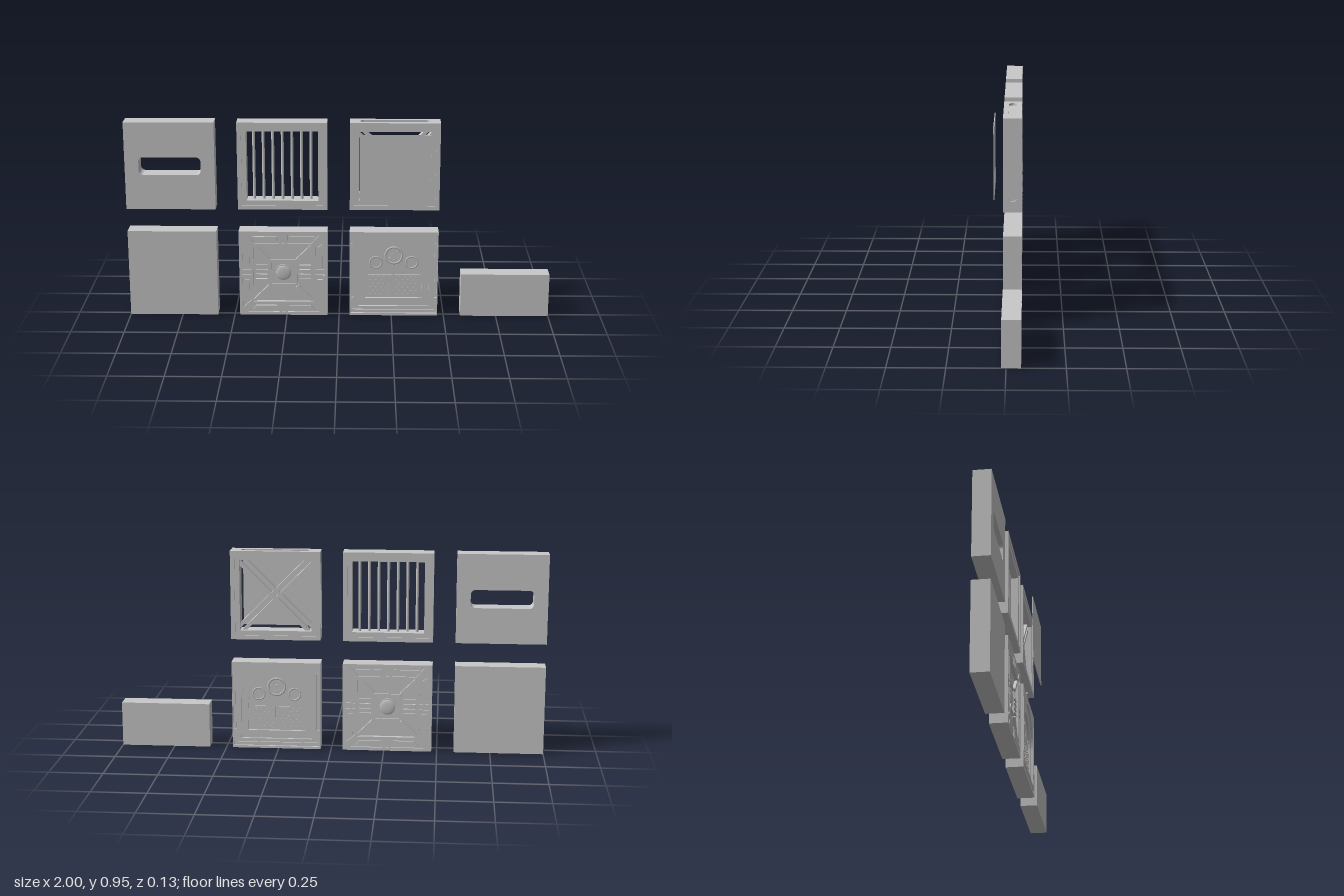
import * as THREE from 'three';

const S = 0.21;    // half tile size
const T = 0.0415;  // half tile thickness
const stone = new THREE.MeshStandardMaterial({ color: 0xc8c8c8 });
stone.name = 'light grey stone';

function add(parent, name, geo, x = 0, y = 0, z = 0) {
  const m = new THREE.Mesh(geo, stone);
  m.name = name;
  m.position.set(x, y, z);
  parent.add(m);
  return m;
}
const box = (w, h, d) => new THREE.BoxGeometry(w, h, d);
const disc = (r, d, n = 16) => new THREE.CylinderGeometry(r, r, d, n).rotateX(Math.PI / 2);
const ring = (r, tube) => new THREE.TorusGeometry(r, tube, 6, 28).scale(1, 1, 0.6);

// Outlines
const poly = pts => new THREE.Shape(pts.map(p => new THREE.Vector2(...p)));
const rect = (w, h, x = 0, y = 0) =>
  poly([[x - w / 2, y - h / 2], [x + w / 2, y - h / 2], [x + w / 2, y + h / 2], [x - w / 2, y + h / 2]]);
function roundRect(w, h, r, x = 0, y = 0) {
  const s = new THREE.Shape(), a = w / 2 - r, b = h / 2 - r;
  s.absarc(x + a, y + b, r, 0, Math.PI / 2);
  s.absarc(x - a, y + b, r, Math.PI / 2, Math.PI);
  s.absarc(x - a, y - b, r, Math.PI, Math.PI * 1.5);
  s.absarc(x + a, y - b, r, Math.PI * 1.5, Math.PI * 2);
  s.closePath();
  return s;
}
function arch(half, bottom, spring) {
  const s = new THREE.Shape();
  s.moveTo(-half, bottom);
  s.lineTo(half, bottom);
  s.absarc(0, spring, half, 0, Math.PI);
  s.closePath();
  return s;
}
// Points turned by a number of quarter turns
function quarterTurn(pts, n) {
  for (let i = 0; i < n; i++) pts = pts.map(([x, y]) => [-y, x]);
  return pts;
}
// Plate of an outline with holes, starting at z = 0
function plate(shape, holes, depth) {
  shape.holes.push(...holes);
  return new THREE.ExtrudeGeometry(shape, { depth, bevelEnabled: false, curveSegments: 12 });
}

function tile(parent, name, x, y) {
  const g = new THREE.Group();
  g.name = name;
  g.position.set(x, y, -0.0215);
  parent.add(g);
  return g;
}
// Same relief on the front and the back of a tile
function bothFaces(g, build) {
  const front = new THREE.Group();
  front.name = 'frontRelief';
  build(front);
  const back = front.clone();
  back.name = 'backRelief';
  back.rotation.y = Math.PI;
  g.add(front, back);
}
// Frame with a thin raised outer rim on both faces
function rimmedFrame(g, outer, opening) {
  add(g, 'frame', plate(rect(outer, outer), [rect(opening, opening)], 2 * T - 0.01), 0, 0, -T + 0.005);
  bothFaces(g, f => add(f, 'rim', plate(rect(outer, outer), [rect(0.38, 0.38)], 0.005), 0, 0, T - 0.005));
}

function barredWindow(g) {
  rimmedFrame(g, 2 * S, 0.335);
  for (let i = 0; i < 7; i++)
    add(g, 'bar', new THREE.CylinderGeometry(0.007, 0.007, 0.34, 10), (i - 3) * 0.0445);
}

function bracedFrame(g) {
  rimmedFrame(g, 2 * (S - 0.01), 0.335);
  // Outer sides with long rounded grooves
  for (let i = 0; i < 4; i++) {
    const side = new THREE.Group();
    side.name = 'groovedSide';
    side.rotation.z = i * Math.PI / 2;
    const groove = roundRect(0.325, 0.036, 0.0179);
    add(side, 'groovedPlate', plate(rect(2 * S, 2 * T), [groove], 0.01).rotateX(-Math.PI / 2), 0, S - 0.01, 0);
    g.add(side);
  }
  // Crossed braces, each a pair of rails
  for (const s of [-1, 1]) {
    const brace = new THREE.Group();
    brace.name = 'brace';
    brace.rotation.z = s * Math.PI / 4;
    g.add(brace);
    for (const k of [-1, 1]) add(brace, 'braceRail', box(0.465, 0.016, 0.034 + s * 0.002), 0, k * 0.014);
  }
  // Cover panel standing off the front
  add(g, 'coverPanel', box(0.33, 0.33, 0.004), 0, 0, 0.0825);
}

function ribbedSquare(g) {
  const R = 0.018, F = T - R, A = 0.1425, B = 0.065, D = 0.008;
  const trapezoids = [], bars = [], ticks = [];
  for (let n = 0; n < 4; n++) {
    ticks.push(poly(quarterTurn([[-0.007, 0.152], [0.007, 0.152], [0.007, 0.197], [-0.007, 0.197]], n)));
    for (const s of [-1, 1]) {
      trapezoids.push(poly(quarterTurn([[s * 0.02, 0.152], [s * 0.135, 0.152], [s * 0.172, 0.195], [s * 0.02, 0.195]], n)));
      bars.push(poly(quarterTurn([[s * 0.03, 0.162], [s * 0.131, 0.162], [s * 0.149, 0.185], [s * 0.03, 0.185]], n)));
    }
  }
  add(g, 'core', box(2 * S, 2 * S, 2 * F));
  bothFaces(g, f => {
    add(f, 'borderBase', plate(rect(2 * S, 2 * S), [rect(2 * A, 2 * A)], R - D), 0, 0, F);
    add(f, 'border', plate(rect(2 * S, 2 * S), [rect(2 * A, 2 * A), ...trapezoids, ...ticks], D), 0, 0, T - D);
    for (const b of bars) add(f, 'trapezoidBar', plate(b, [], D), 0, 0, T - D);
    // Central square with a round boss
    add(f, 'centreFrame', plate(rect(2 * B, 2 * B), [rect(0.112, 0.112)], 0.008), 0, 0, F);
    add(f, 'boss', disc(0.042, 0.006, 24), 0, 0, F + 0.003);
    add(f, 'bossDome', new THREE.SphereGeometry(0.036, 20, 8, 0, Math.PI * 2, 0, Math.PI / 2)
      .scale(1, 0.15, 1).rotateX(Math.PI / 2), 0, 0, F + 0.006);
    // Ribs running from the central square to the corners
    for (let n = 0; n < 4; n++) {
      const a = Math.PI / 4 + n * Math.PI / 2, mid = (A + B) / Math.SQRT2;
      add(f, 'cornerRib', box((A - B) * Math.SQRT2, 0.016, 0.014),
        Math.cos(a) * mid, Math.sin(a) * mid, F + 0.007).rotation.z = a;
    }
    // Slats left and right of the central square
    for (const s of [-1, 1])
      for (let k = 0; k < 4; k++)
        add(f, 'slat', box(0.055, 0.01, 0.01), s * 0.104, (k - 1.5) * 0.023, F + 0.005);
  });
}

function archedDoor(g) {
  const R = 0.022, F = T - R, D = 0.01;
  add(g, 'core', box(2 * S, 2 * S, 2 * F));
  bothFaces(g, f => {
    const grooves = [-1, 1].map(s => roundRect(0.017, 0.28, 0.008, s * 0.198, 0.02));
    grooves.push(rect(0.408, 0.024, 0, -0.187));
    add(f, 'outerArch', plate(rect(2 * S, 2 * S), [arch(0.168, -0.162, 0.014), ...grooves], D), 0, 0, T - D);
    add(f, 'innerArch', plate(rect(2 * S, 2 * S), [arch(0.135, -0.125, 0.005)], R - D), 0, 0, F);
    add(f, 'baseStrip', box(0.396, 0.012, 0.007), 0, -0.187, T - D + 0.0035);
    for (const s of [-1, 1]) {
      add(f, 'sideRod', plate(roundRect(0.009, 0.268, 0.0044), [], 0.007), s * 0.198, 0.02, T - D);
      add(f, 'sideRing', ring(0.028, 0.004), s * 0.085, 0.052, F);
      // Studded lower panels
      add(f, 'doorPanel', box(0.118, 0.115, 0.005), s * 0.064, -0.065, F + 0.0015);
      for (let r = 0; r < 6; r++)
        for (let c = 0; c < 4; c++)
          add(f, 'stud', disc(0.006, 0.004, 8), s * 0.064 + (c - 1.5) * 0.026 + (r % 2 ? 0.006 : -0.006),
            -0.065 + (r - 2.5) * 0.018, F + 0.005);
    }
    // Rosette
    const y = 0.087;
    add(f, 'rosetteRing', ring(0.04, 0.005), 0, y, F);
    add(f, 'rosetteCentre', disc(0.011, 0.008), 0, y, F);
    for (let i = 0; i < 8; i++) {
      const a = i * Math.PI / 4;
      add(f, 'petal', disc(0.008, 0.006, 10), Math.cos(a) * 0.026, y + Math.sin(a) * 0.026, F);
    }
  });
}

export function createModel() {
  const model = new THREE.Group();
  model.name = 'wallTileSet';
  const [c1, c2, c3, c4] = [-0.79, -0.265, 0.26, 0.79];
  const low = 0.21, high = 0.74;

  add(tile(model, 'plainTile', c1, low), 'block', box(2 * S, 2 * S, 2 * T));
  add(tile(model, 'halfTile', c4, 0.105), 'block', box(2 * S, S, 2 * T));
  add(tile(model, 'slottedTile', c1, high), 'slottedBlock',
    plate(rect(2 * S, 2 * S), [roundRect(0.29, 0.085, 0.022)], 2 * T), 0, 0, -T);
  barredWindow(tile(model, 'barredWindowTile', c2, high));
  bracedFrame(tile(model, 'bracedFrameTile', c3, high));
  ribbedSquare(tile(model, 'ribbedSquareTile', c2, low));
  archedDoor(tile(model, 'archedDoorTile', c3, low));
  return model;
}
